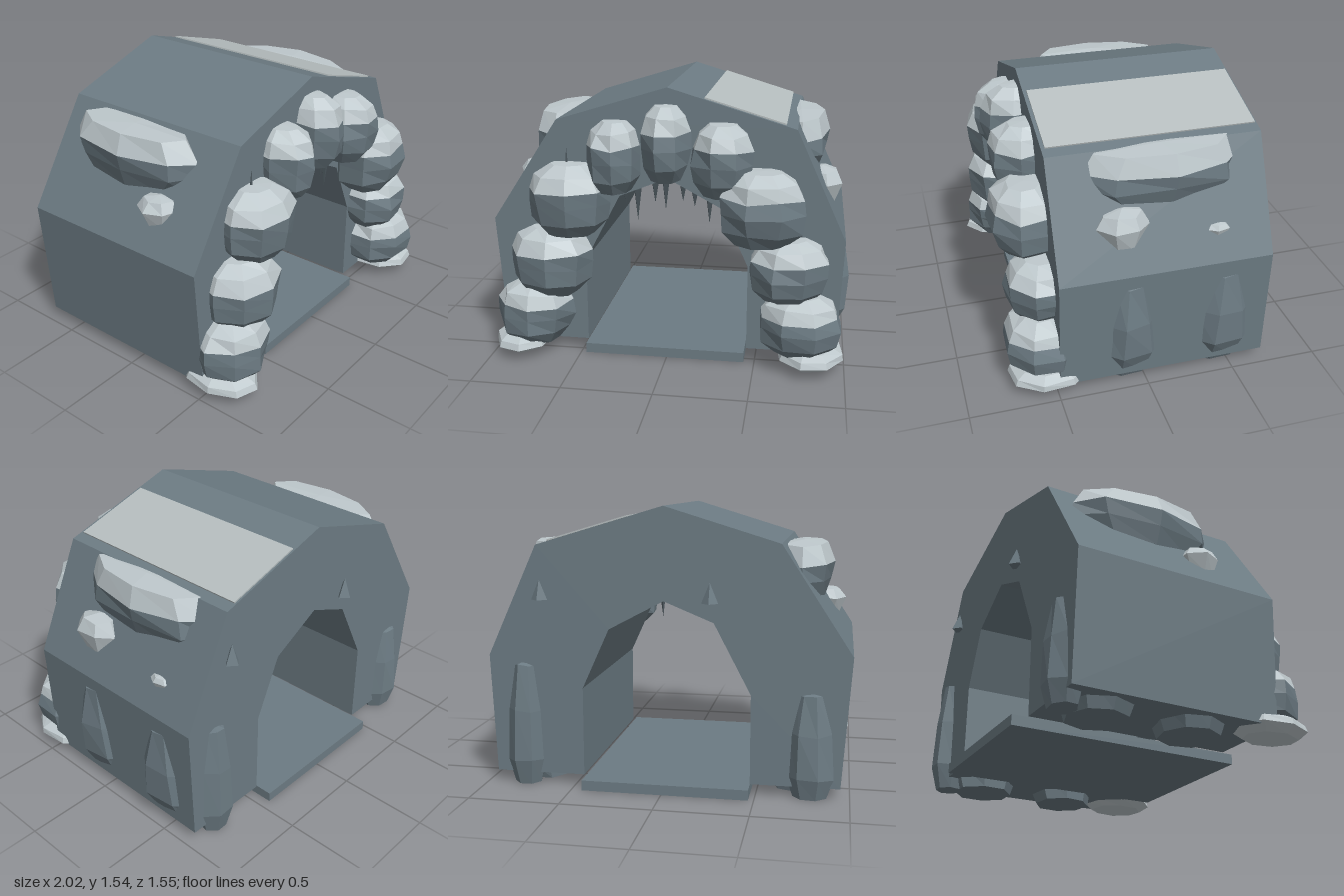
import * as THREE from 'three';

const mat = (name, color) => {
  const m = new THREE.MeshStandardMaterial({ color });
  m.name = name;
  return m;
};

// Repeatable noise in -1..1
const noise = (a, b, c) => {
  const s = Math.sin(a * 12.99 + b * 78.23 + c * 37.72) * 43758.55;
  return (s - Math.floor(s)) * 2 - 1;
};

// Profiles from bottom to top: [radius, height], both in 0..1
const BOULDER = [[0, 0], [0.6, 0], [0.92, 0.2], [1, 0.45], [0.98, 0.66]];
const BOULDER_CAP = [[0.98, 0.66], [0.82, 0.86], [0.45, 0.99], [0, 1]];
const LEDGE = [[0, 0.02], [0.75, 0.02], [0.98, 0.35], [1, 0.62]];
const LEDGE_CAP = [[1, 0.62], [0.82, 0.96], [0, 1]];
const BUTTRESS = [[0, 0], [0.75, 0], [1, 0.28], [0.82, 0.6], [0.45, 0.95], [0, 1]];
const SLAB = [[0, 0], [0.7, 0], [1, 0.2], [0.9, 0.6], [0.6, 0.97], [0, 1]];
const PEBBLE = [[0, 0], [0.65, 0.15], [1, 0.65], [0.7, 0.92], [0, 1]];

export function createModel() {
  const model = new THREE.Group();
  model.name = 'caveTunnel';
  const stone = mat('stone', 0x6c7b83);
  const pale = mat('paleStone', 0xbec8cc);
  const panel = mat('panelStone', 0xb6bebf);
  const dark = mat('darkStone', 0x4c575d);

  const add = (name, geometry, material, parent = model) => {
    const mesh = new THREE.Mesh(geometry, material);
    mesh.name = name;
    parent.add(mesh);
    return mesh;
  };

  // Faceted lathe, roughened by noise; min/max are its box, lean shifts its top in x
  const rockGeo = (profile, [x0, x1], [y0, y1], [z0, z1], seed, rough, lean, sides) => {
    const pts = profile.map(p => new THREE.Vector2(...p));
    const geo = new THREE.LatheGeometry(pts, sides, 0.2 + seed * 0.37);
    const p = geo.attributes.position;
    for (let i = 0; i < p.count; i++) {
      const x = p.getX(i), y = p.getY(i), z = p.getZ(i);
      const a = Math.round(x * 40), b = Math.round(y * 40) + seed, c = Math.round(z * 40);
      const k = 1 + rough * noise(a, b, c);
      const h = y + (y > 0.1 && y < 0.99 ? rough * 0.4 * noise(c, a, b) : 0);
      p.setXYZ(i,
        (x0 + x1) / 2 + x * k * (x1 - x0) / 2 + lean * y,
        y0 + h * (y1 - y0),
        (z0 + z1) / 2 + z * k * (z1 - z0) / 2);
    }
    const flat = geo.toNonIndexed();
    flat.computeVertexNormals();
    return flat;
  };
  const rock = (name, profile, material, x, y, z, seed, { rough = 0.07, lean = 0, sides = 8 } = {}) =>
    add(name, rockGeo(profile, x, y, z, seed, rough, lean, sides), material);

  // Two-tone rock: stone body with a pale cap
  const cappedRock = (name, body, cap, x, y, z, seed) => {
    const g = new THREE.Group();
    g.name = name;
    add('rockBody', rockGeo(body, x, y, z, seed, 0.06, 0, 8), stone, g);
    add('rockCap', rockGeo(cap, x, y, z, seed, 0.06, 0, 8), pale, g);
    model.add(g);
  };

  // Tunnel shell: faceted hill with an arched passage
  const outline = [
    [-0.95, 0.06], [-0.47, 0.06], [-0.47, 0.55], [-0.27, 0.93], [0, 1.04],
    [0.3, 0.88], [0.45, 0.55], [0.45, 0.06], [0.95, 0.06], [0.98, 0.72],
    [0.7, 1.33], [0, 1.54], [-0.62, 1.35], [-1, 0.77]
  ].map(p => new THREE.Vector2(...p));
  const shell = new THREE.ExtrudeGeometry(new THREE.Shape(outline), { depth: 1.18, bevelEnabled: false });
  shell.translate(0, 0, -0.69);
  add('tunnelShell', shell, stone);

  // Floor slab
  add('floor', new THREE.BoxGeometry(0.91, 0.056, 1.33).translate(-0.015, 0.028, -0.115), stone);

  // Pale plate lying on the roof slope
  const plate = add('roofPlate', new THREE.BoxGeometry(0.46, 0.008, 1.15), panel);
  plate.position.set(0.42, 1.419, -0.105);
  plate.rotation.z = -Math.atan2(0.21, 0.7);

  // Boulders round the entrance: x range, y range, front z
  [
    [-0.15, 0.14, 1.04, 1.45, 0.7], [-0.44, -0.14, 0.97, 1.36, 0.71],
    [0.13, 0.48, 0.97, 1.36, 0.72], [-0.78, -0.31, 0.72, 1.12, 0.73],
    [0.28, 0.77, 0.72, 1.12, 0.78], [-0.9, -0.42, 0.36, 0.75, 0.72],
    [0.45, 0.9, 0.39, 0.74, 0.73], [-0.98, -0.54, 0.08, 0.43, 0.74],
    [0.51, 0.98, 0.1, 0.43, 0.76]
  ].forEach(([x0, x1, y0, y1, z], i) =>
    cappedRock('entranceBoulder', BOULDER, BOULDER_CAP, [x0, x1], [y0, y1], [z - 0.42, z], i + 1));

  // Flat pale stones at the foot of the arch
  const FLAT = [[0, 0], [0.7, 0], [1, 0.4], [0.95, 0.75], [0.7, 1], [0, 1]];
  rock('footStone', FLAT, pale, [-1, -0.67], [0.03, 0.13], [0.3, 0.75], 2, { rough: 0.03 });
  rock('footStone', FLAT, pale, [0.62, 1], [0.03, 0.13], [0.3, 0.76], 3, { rough: 0.03 });

  // Ledges on the shoulders
  cappedRock('shoulderLedge', LEDGE, LEDGE_CAP, [0.54, 0.87], [1.02, 1.34], [-0.56, 0.31], 4);
  cappedRock('shoulderLedge', LEDGE, LEDGE_CAP, [-0.88, -0.54], [1.02, 1.34], [-0.59, 0.28], 6);

  // Small pale stones set in the walls
  rock('wallStone', PEBBLE, pale, [0.72, 0.96], [0.8, 1.06], [-0.03, 0.27], 5, { sides: 7 });
  rock('wallStone', PEBBLE, pale, [0.83, 0.93], [0.83, 0.92], [-0.47, -0.33], 6, { sides: 6 });
  rock('wallStone', PEBBLE, pale, [-0.95, -0.73], [0.86, 1.05], [0, 0.25], 7, { sides: 7 });

  // Buttress rocks along the lower walls
  rock('wallButtress', BUTTRESS, stone, [0.52, 0.97], [0, 0.68], [-0.13, 0.31], 3, { lean: 0.15, rough: 0.04 });
  rock('wallButtress', BUTTRESS, stone, [0.52, 0.97], [0, 0.65], [-0.68, -0.22], 5, { lean: 0.15, rough: 0.04 });
  rock('wallButtress', BUTTRESS, stone, [-0.95, -0.51], [0, 0.6], [-0.13, 0.31], 4, { rough: 0.04 });
  rock('wallButtress', BUTTRESS, stone, [-0.95, -0.51], [0, 0.6], [-0.66, -0.22], 8, { rough: 0.04 });

  // Upright slabs on the rear wall
  rock('rearSlab', SLAB, stone, [0.67, 0.89], [0, 0.69], [-0.77, -0.55], 2, { sides: 7, rough: 0.04 });
  rock('rearSlab', SLAB, stone, [-0.92, -0.66], [0, 0.58], [-0.76, -0.55], 4, { sides: 7, rough: 0.04 });

  // Pointed nubs on the rear wall
  for (const x of [0.68, -0.25])
    add('rearNub', new THREE.ConeGeometry(0.045, 0.11, 4).toNonIndexed().translate(x, 1.09, -0.705), stone)
      .geometry.computeVertexNormals();

  // Stalactites under the arch: x, tip height, z
  [
    [-0.24, 0.87, 0.44], [-0.17, 0.79, 0.47], [-0.08, 0.88, 0.42], [-0.01, 0.86, 0.48],
    [0.08, 0.9, 0.44], [0.15, 0.88, 0.47], [0.23, 0.78, 0.45]
  ].forEach(([x, tip, z]) => {
    const h = 1.04 - Math.abs(x) * 0.4 - tip;
    const cone = new THREE.ConeGeometry(0.022, h, 5).rotateX(Math.PI).toNonIndexed();
    cone.computeVertexNormals();
    add('stalactite', cone.translate(x, tip + h / 2, z), dark);
  });

  // Thin spike between the entrance boulders
  add('spike', new THREE.ConeGeometry(0.015, 0.2, 5).translate(-0.56, 1.11, 0.51), dark);

  return model;
}
